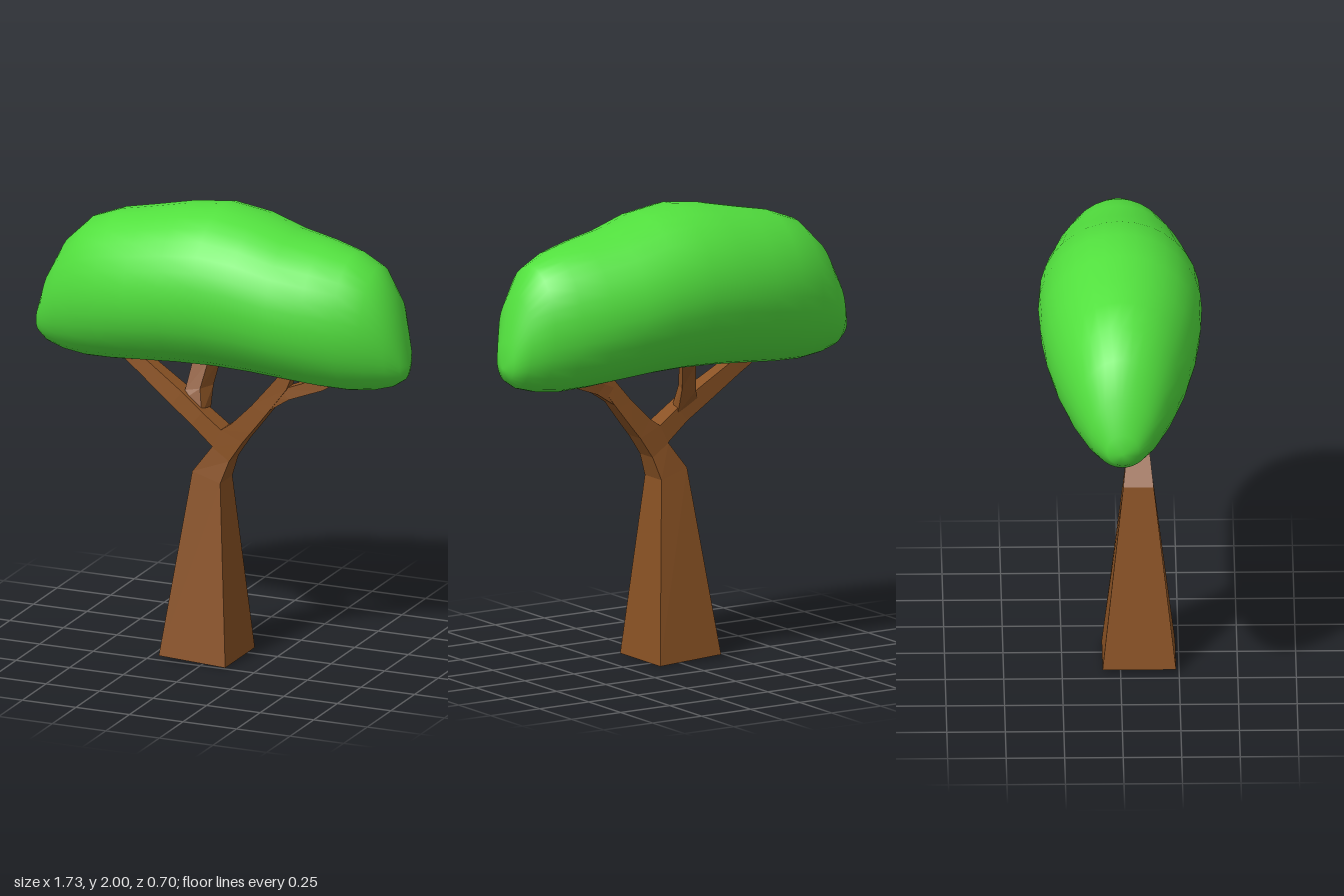
import * as THREE from 'three';
import { mergeVertices } from 'three/addons/utils/BufferGeometryUtils.js';

const bark = new THREE.MeshStandardMaterial({ color: 0x8a5224, flatShading: true });
const leaves = new THREE.MeshStandardMaterial({ color: 0x52e03e });

// Skin a list of rings, each running counter-clockwise seen from ahead; ends are closed
function loft(rings) {
  const n = rings[0].length;
  const index = [];
  for (let i = 0; i < rings.length - 1; i++) {
    for (let j = 0; j < n; j++) {
      const a = i * n + j, b = i * n + (j + 1) % n;
      index.push(a, b, b + n, a, b + n, a + n);
    }
  }
  const last = (rings.length - 1) * n;
  for (let j = 1; j < n - 1; j++) {
    index.push(0, j + 1, j, last, last + j, last + j + 1);
  }
  const geometry = new THREE.BufferGeometry();
  geometry.setAttribute('position', new THREE.Float32BufferAttribute(rings.flat(2), 3));
  geometry.setIndex(index);
  return geometry;
}

// Four-sided limb; section = [left x, left y, right x, right y, z, half depth, back shift]
function limb(name, sections) {
  const rings = sections.map(([lx, ly, rx, ry, z, d, s = 0]) => [
    [lx, ly, z + d], [rx, ry, z + d], [rx + s, ry, z - d], [lx + s, ly, z - d],
  ]);
  const geometry = loft(rings).toNonIndexed();
  geometry.computeVertexNormals();
  const mesh = new THREE.Mesh(geometry, bark);
  mesh.name = name;
  return mesh;
}

// Long rounded crown: elliptical sections between a bottom and a top outline
function crown() {
  const length = 0.865, depth = 0.35, sides = 32;
  const top = [1.38, 1.46, 1.61, 1.76, 1.865, 1.915, 1.945, 1.98, 2.0,
    1.975, 1.922, 1.893, 1.86, 1.81, 1.69, 1.49, 1.38];
  const bottom = [1.38, 1.32, 1.285, 1.262, 1.25, 1.255, 1.268, 1.28, 1.285,
    1.28, 1.268, 1.255, 1.25, 1.262, 1.285, 1.32, 1.38];
  const rings = top.map((t, i) => {
    const angle = (i / (top.length - 1)) * Math.PI;
    const x = -length * Math.cos(angle);
    const w = i % (top.length - 1) === 0 ? 0 : depth * Math.sin(angle);
    const mid = (t + bottom[i]) / 2, h = (t - bottom[i]) / 2;
    return Array.from({ length: sides }, (_, j) => {
      const a = (j / sides) * Math.PI * 2;
      return [x, mid + h * Math.cos(a), w * Math.sin(a)];
    });
  });
  const geometry = mergeVertices(loft(rings));
  geometry.computeVertexNormals();
  const mesh = new THREE.Mesh(geometry, leaves);
  mesh.name = 'crown';
  return mesh;
}

export function createModel() {
  const tree = new THREE.Group();
  tree.name = 'tree';

  // Trunk flows into the branch on the +x side
  tree.add(limb('trunk', [
    [-0.2, 0.015, 0.11, 0, 0.08, 0.157],
    [-0.085, 0.83, 0.045, 0.79, 0.078, 0.065],
    [0, 0.945, 0.08, 0.89, 0.078, 0.05],
    [0.04, 1.025, 0.14, 0.98, 0.078, 0.047],
    [0.09, 1.06, 0.18, 1.03, 0.079, 0.045],
    [0.18, 1.15, 0.25, 1.12, 0.08, 0.04],
    [0.29, 1.28, 0.34, 1.24, 0.08, 0.032],
    [0.34, 1.36, 0.38, 1.34, 0.08, 0.028],
  ]));
  // Branch on the -x side
  tree.add(limb('rightBranch', [
    [0.02, 0.93, 0.07, 1.01, 0.078, 0.046],
    [0, 0.945, 0.04, 1.025, 0.078, 0.046],
    [-0.1, 1.03, -0.05, 1.09, 0.075, 0.043],
    [-0.2, 1.1, -0.15, 1.165, 0.065, 0.04],
    [-0.36, 1.215, -0.31, 1.265, 0.045, 0.032],
    [-0.54, 1.34, -0.5, 1.38, 0.02, 0.028],
  ]));
  // Side shoots of the two branches
  tree.add(limb('leftShoot', [
    [0.23, 1.2, 0.25, 1.13, 0.08, 0.034],
    [0.31, 1.235, 0.35, 1.195, 0.075, 0.032],
    [0.47, 1.295, 0.5, 1.25, 0.06, 0.028],
    [0.56, 1.34, 0.58, 1.3, 0.05, 0.025],
  ]));
  tree.add(limb('middleShoot', [
    [-0.16, 1.12, -0.06, 1.07, 0.065, 0.035, 0.01],
    [-0.15, 1.165, -0.08, 1.18, 0.035, 0.038, 0.03],
    [-0.13, 1.29, -0.06, 1.29, 0, 0.036, 0.03],
    [-0.125, 1.36, -0.06, 1.36, -0.01, 0.034, 0.03],
  ]));

  tree.add(crown());
  return tree;
}
